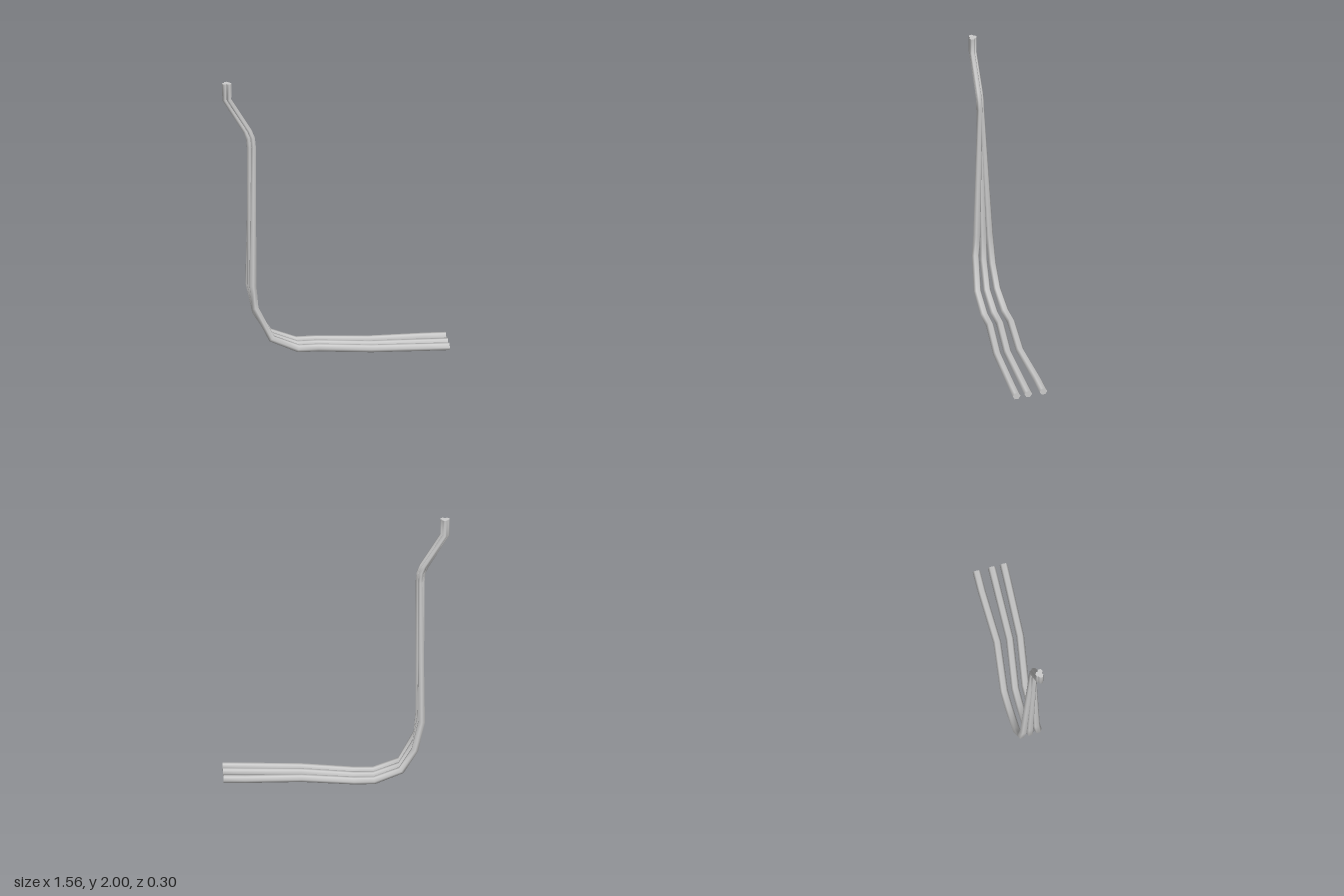
import * as THREE from 'three';

const SIDES = 6;

// Capped tube swept through [x, y, z, radius] points, with smooth sides
function cableGeometry(points) {
  const centres = points.map(([x, y, z]) => new THREE.Vector3(x, y, z));
  const last = centres.length - 1;
  const pos = [], index = [];
  const rings = centres.map((c, i) => {
    const t = new THREE.Vector3();
    if (i > 0) t.add(c.clone().sub(centres[i - 1]).normalize());
    if (i < last) t.add(centres[i + 1].clone().sub(c).normalize());
    t.normalize();
    const side = new THREE.Vector3(0, 0, 1).addScaledVector(t, -t.z).normalize();
    const up = t.clone().cross(side);
    return Array.from({ length: SIDES }, (_, j) => {
      const a = (j / SIDES) * Math.PI * 2;
      return c.clone()
        .addScaledVector(side, points[i][3] * Math.cos(a))
        .addScaledVector(up, points[i][3] * Math.sin(a));
    });
  });
  rings.forEach((ring) => ring.forEach((p) => pos.push(p.x, p.y, p.z)));
  for (let i = 0; i < last; i++) {
    for (let j = 0; j < SIDES; j++) {
      const k = (j + 1) % SIDES;
      const a = i * SIDES + j, b = i * SIDES + k;
      index.push(a, b, b + SIDES, a, b + SIDES, a + SIDES);
    }
  }
  // End caps use their own vertices so they stay flat
  for (const [ring, flip] of [[rings[0], true], [rings[last], false]]) {
    const base = pos.length / 3;
    ring.forEach((p) => pos.push(p.x, p.y, p.z));
    for (let j = 1; j < SIDES - 1; j++) {
      if (flip) index.push(base, base + j + 1, base + j);
      else index.push(base, base + j, base + j + 1);
    }
  }
  const geo = new THREE.BufferGeometry();
  geo.setAttribute('position', new THREE.Float32BufferAttribute(pos, 3));
  geo.setIndex(index);
  geo.computeVertexNormals();
  return geo;
}

// Shared bundle path at the top, as [x, y]
const BUNDLE = [[-0.75, 2], [-0.75, 1.88], [-0.607, 1.64], [-0.585, 1.585], [-0.579, 1.52]];
// Distances along the ground run
const RUN_X = [-0.26, -0.12, 0.24, 0.63, 0.78];

// offset: place in the bundle; bend: the curve to the ground; runZ: z along the ground
const CABLES = [
  {
    name: 'frontCable', offset: [0.014, 0.008],
    bend: [[-0.57, 0.49, -0.02], [-0.557, 0.33, -0.004], [-0.445, 0.105, 0.016]],
    runZ: [0.024, 0.028, 0.09, 0.113, 0.12],
  },
  {
    name: 'middleCable', offset: [-0.014, 0.006],
    bend: [[-0.58, 0.48, -0.067], [-0.548, 0.29, -0.06], [-0.445, 0.102, -0.052]],
    runZ: [-0.048, -0.045, 0.015, 0.03, 0.035],
  },
  {
    name: 'backCable', offset: [0, -0.009],
    bend: [[-0.587, 0.47, -0.115], [-0.54, 0.255, -0.121], [-0.445, 0.1, -0.125]],
    runZ: [-0.125, -0.125, -0.075, -0.078, -0.074],
  },
];

export function createModel() {
  const group = new THREE.Group();
  group.name = 'cableBundle';
  const material = new THREE.MeshStandardMaterial({ color: 0xcccccc });
  for (const { name, offset, bend, runZ } of CABLES) {
    const points = [
      ...BUNDLE.map(([x, y]) => [x + offset[0], y, -0.047 + offset[1], 0.019]),
      ...bend.map((p) => [...p, 0.026]),
      ...RUN_X.map((x, i) => [x, 0.025, runZ[i], 0.0275]),
    ];
    const cable = new THREE.Mesh(cableGeometry(points), material);
    cable.name = name;
    group.add(cable);
  }
  return group;
}
